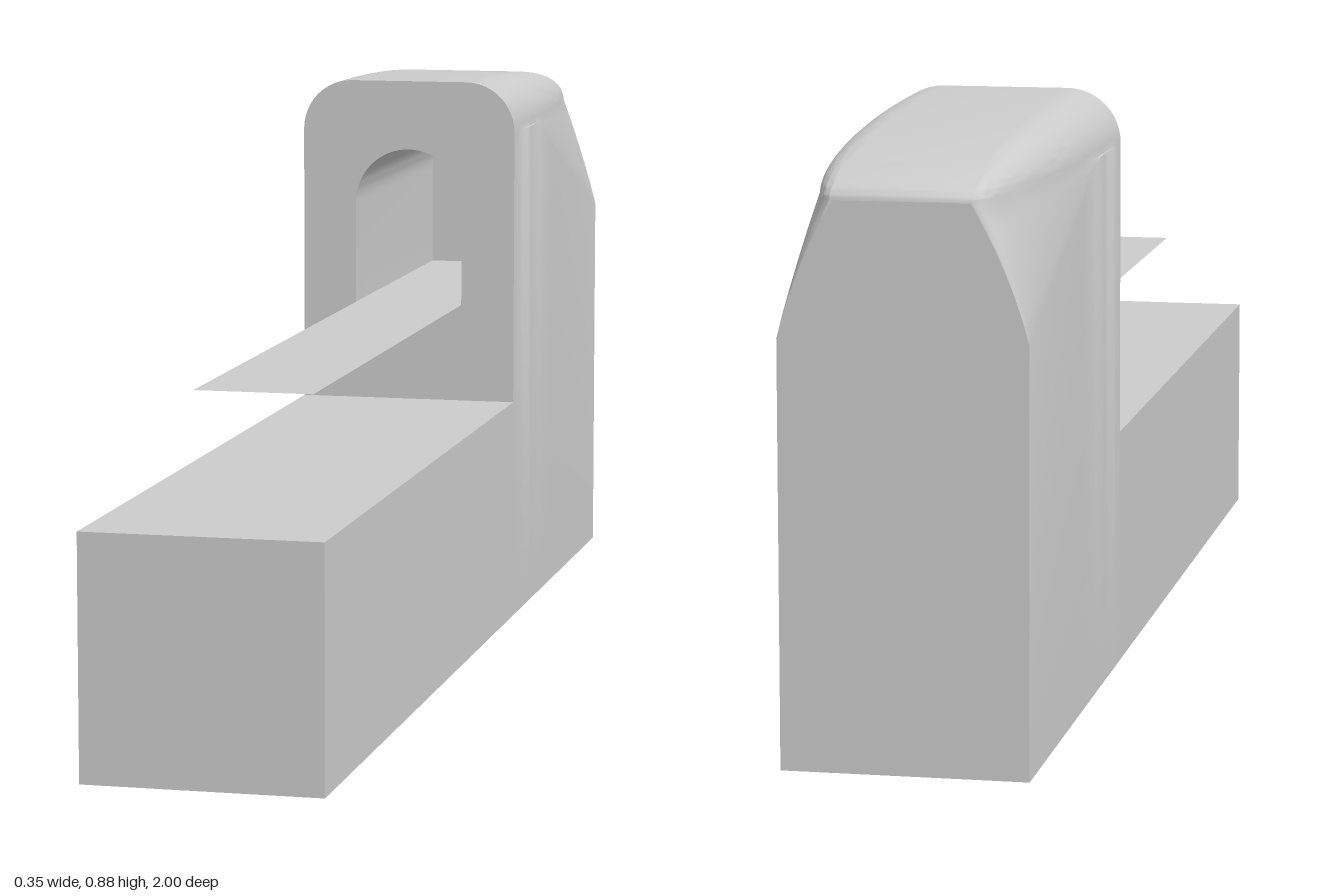
import * as THREE from 'three';
import { toCreasedNormals } from 'three/addons/utils/BufferGeometryUtils.js';

const HALF = 0.175, BASE_TOP = 0.355, FRONT = -0.275, BACK = -1;
const RADIUS = 0.08, SPRING = 0.795, FLAT = HALF - RADIUS;
const material = new THREE.MeshStandardMaterial({ color: 0xcccccc });
const thinMaterial = new THREE.MeshStandardMaterial({ color: 0xcccccc, side: THREE.DoubleSide });

function addMesh(group, name, geometry, mat = material) {
  const mesh = new THREE.Mesh(geometry, mat);
  mesh.name = name;
  group.add(mesh);
  return mesh;
}

// Joins closed anticlockwise rings that run from front to back
function loft(rings, depths) {
  const n = rings[0].length;
  const position = [], index = [];
  rings.forEach((ring, k) => ring.forEach((p) => position.push(p.x, p.y, depths[k])));
  for (let k = 0; k < rings.length - 1; k++) {
    for (let i = 0; i < n; i++) {
      const a = k * n + i, b = k * n + (i + 1) % n, c = a + n, d = b + n;
      index.push(a, c, b, b, c, d);
    }
  }
  const geometry = new THREE.BufferGeometry();
  geometry.setAttribute('position', new THREE.Float32BufferAttribute(position, 3));
  geometry.setIndex(index);
  return toCreasedNormals(geometry, 0.6);
}

// Cross-section of the head: straight side, tapered shoulder, rounded corner
function headRing(z) {
  const t = (FRONT - z) / (FRONT - BACK);
  const r = RADIUS * Math.sqrt(Math.max(0, 1 - t * t));
  const low = SPRING - 0.19 * Math.max(0, (t - 0.25) / 0.75) - 0.001;
  const half = [new THREE.Vector2(HALF, 0)];
  const shoulder = new THREE.QuadraticBezierCurve(
    new THREE.Vector2(HALF, low),
    new THREE.Vector2(FLAT + r + (RADIUS - r) * 0.7, (low + SPRING) / 2),
    new THREE.Vector2(FLAT + r, SPRING));
  half.push(...shoulder.getPoints(6));
  for (let i = 1; i <= 12; i++) {
    const a = (i / 12) * Math.PI / 2;
    half.push(new THREE.Vector2(FLAT + r * Math.cos(a), SPRING + r * Math.sin(a)));
  }
  const mirrored = half.map((p) => new THREE.Vector2(-p.x, p.y)).reverse();
  return [...half, ...mirrored];
}

// Round-topped tunnel outline
function archRing() {
  const w = 0.088, floor = 0.512, spring = 0.676;
  const points = [new THREE.Vector2(-w, floor), new THREE.Vector2(w, floor)];
  for (let i = 0; i <= 32; i++) {
    const a = (i / 32) * Math.PI;
    points.push(new THREE.Vector2(w * Math.cos(a), spring + w * Math.sin(a)));
  }
  return points;
}

export function createModel() {
  const model = new THREE.Group();
  model.name = 'steppedBlock';

  // Long low base in front of the head
  const base = addMesh(model, 'base', new THREE.BoxGeometry(HALF * 2, BASE_TOP, 1 - FRONT));
  base.position.set(0, BASE_TOP / 2, (1 + FRONT) / 2);

  // Head, its sections packed closer where the crown drops at the back
  const head = new THREE.Group();
  head.name = 'head';
  model.add(head);
  const depths = [];
  for (let k = 0; k <= 32; k++) {
    depths.push(FRONT + (BACK - FRONT) * Math.sin((k / 32) * Math.PI / 2));
  }
  const rings = depths.map(headRing);
  addMesh(head, 'headShell', loft(rings, depths));

  // Front face with the tunnel mouth cut out
  const arch = archRing();
  const face = new THREE.Shape(rings[0]);
  face.holes.push(new THREE.Path(arch));
  addMesh(head, 'frontFace', new THREE.ShapeGeometry(face)).position.z = FRONT;

  // Flat back face
  const outline = rings[rings.length - 1].filter((p, i, all) => i === 0 || p.distanceTo(all[i - 1]) > 1e-5);
  const backFace = addMesh(head, 'backFace', new THREE.ShapeGeometry(new THREE.Shape(outline)));
  backFace.rotation.y = Math.PI;
  backFace.position.z = BACK;

  // Blind tunnel inside the head
  const tunnelEnd = -0.85;
  addMesh(head, 'tunnelWall', loft([arch, arch], [FRONT, tunnelEnd]), thinMaterial);
  addMesh(head, 'tunnelEnd', new THREE.ShapeGeometry(new THREE.Shape(arch)), thinMaterial).position.z = tunnelEnd;

  // Thin tongue reaching forward from the tunnel floor
  const tongue = addMesh(model, 'tongue', new THREE.PlaneGeometry(0.176, 0.715 - FRONT), thinMaterial);
  tongue.rotation.x = -Math.PI / 2;
  tongue.position.set(0, 0.512, (0.715 + FRONT) / 2);

  return model;
}
